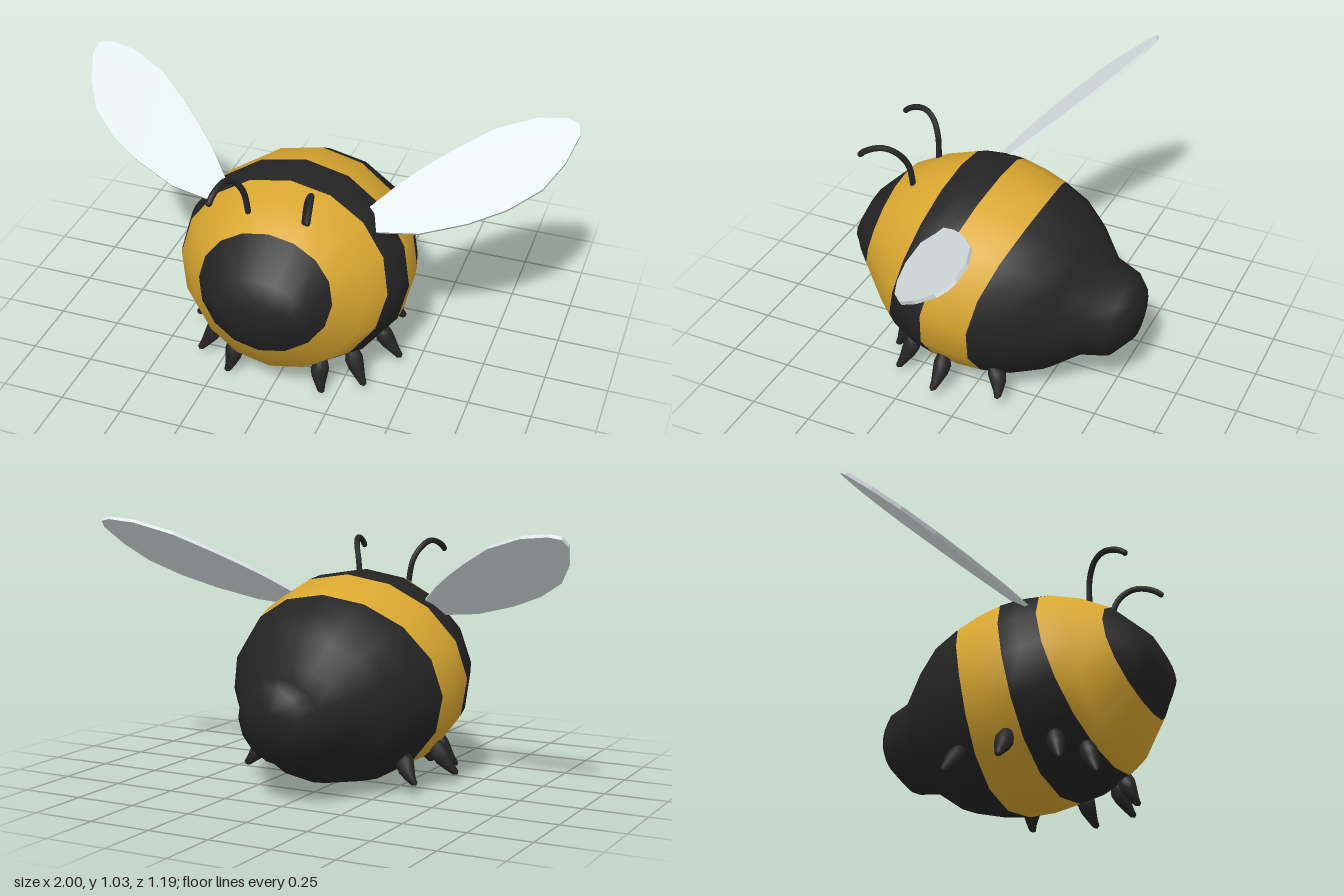
import * as THREE from 'three';
import { mergeVertices } from 'three/addons/utils/BufferGeometryUtils.js';

const mat = (name, color) => new THREE.MeshStandardMaterial({ name, color });

// Smooth loft through tilted oval rings: [topZ, topY, bottomZ, bottomY, halfWidth, middleZ]
function loft(rings, bandOf, segments) {
  const positions = [], indices = [];
  for (const [zt, yt, zb, yb, w, zm] of rings) {
    for (let j = 0; j < segments; j++) {
      const a = (j / segments) * Math.PI * 2, t = Math.cos(a);
      const zc = (zt + zb) / 2;
      positions.push(
        w * Math.sin(a),
        (yt + yb) / 2 + ((yt - yb) / 2) * t,
        zc + ((zt - zb) / 2) * t + (zm - zc) * (1 - t * t)
      );
    }
  }
  let geometry = new THREE.BufferGeometry();
  for (let i = 0; i < rings.length - 1; i++) {
    const start = indices.length;
    for (let j = 0; j < segments; j++) {
      const k = (j + 1) % segments;
      const a = i * segments + j, b = i * segments + k;
      const c = a + segments, d = b + segments;
      indices.push(a, b, c, b, d, c);
    }
    geometry.addGroup(start, indices.length - start, bandOf[i]);
  }
  geometry.setAttribute('position', new THREE.Float32BufferAttribute(positions, 3));
  geometry.setIndex(indices);
  geometry = mergeVertices(geometry);
  geometry.computeVertexNormals();
  return geometry;
}

// Plump, tapering leg from root to tip, its end curling outwards
function legGeometry(root, tip, side) {
  const a = new THREE.Vector3(...root), b = new THREE.Vector3(...tip);
  a.x *= side;
  b.x *= side;
  const dir = b.clone().sub(a), length = dir.length();
  const profile = [[0, 0], [0.026, 0.1], [0.036, 0.32], [0.031, 0.55], [0.02, 0.78], [0.013, 0.95], [0, 1]]
    .map(([r, t]) => new THREE.Vector2(r, t * length));
  const geometry = new THREE.LatheGeometry(profile, 10);
  const p = geometry.attributes.position;
  const q = new THREE.Quaternion().setFromUnitVectors(new THREE.Vector3(0, 1, 0), dir.normalize());
  const v = new THREE.Vector3();
  for (let i = 0; i < p.count; i++) {
    v.fromBufferAttribute(p, i);
    const t = v.y / length;
    v.applyQuaternion(q).add(a);
    v.x -= side * 0.05 * t * (1 - t);
    v.z -= 0.03 * t * (1 - t);
    p.setXYZ(i, v.x, v.y, v.z);
  }
  geometry.computeVertexNormals();
  return geometry;
}

export function createModel() {
  const model = new THREE.Group();
  model.name = 'bumblebee';
  const black = mat('black fuzz', 0x242424);
  const yellow = mat('yellow fuzz', 0xd9a730);
  const wingGrey = mat('pale wing', 0xdde6e8);

  const add = (name, geometry, material) => {
    const mesh = new THREE.Mesh(geometry, material);
    mesh.name = name;
    model.add(mesh);
    return mesh;
  };

  // Striped body, from face to tail
  const rings = [
    [0.595, 0.48, 0.595, 0.48, 0, 0.595],
    [0.595, 0.54, 0.595, 0.42, 0.155, 0.59],
    [0.56, 0.61, 0.575, 0.35, 0.19, 0.56],
    [0.43, 0.735, 0.55, 0.285, 0.265, 0.475],
    [0.31, 0.795, 0.44, 0.125, 0.355, 0.365],
    [0.19, 0.825, 0.385, 0.1, 0.42, 0.285],
    [0.1, 0.83, 0.27, 0.04, 0.45, 0.21],
    [0.02, 0.82, 0.16, 0.02, 0.465, 0.145],
    [-0.08, 0.795, 0.05, 0, 0.46, 0.045],
    [-0.18, 0.76, -0.06, 0, 0.445, -0.04],
    [-0.27, 0.705, -0.16, 0.015, 0.41, -0.17],
    [-0.36, 0.63, -0.26, 0.04, 0.32, -0.29],
    [-0.42, 0.52, -0.39, 0.14, 0.225, -0.41],
    [-0.53, 0.49, -0.49, 0.15, 0.18, -0.51],
    [-0.565, 0.46, -0.57, 0.24, 0.11, -0.57],
    [-0.595, 0.37, -0.595, 0.37, 0, -0.595],
  ];
  const bands = [0, 0, 0, 1, 1, 0, 0, 1, 1, 0, 0, 0, 0, 0, 0];
  add('body', loft(rings, bands, 16), [black, yellow]);

  // Outline of a wing lying flat, root to tip and back
  const wingOutline = [
    [0.34, 0], [0.29, 0.04], [0.29, 0.09], [0.38, 0.205], [0.46, 0.29], [0.55, 0.375],
    [0.68, 0.485], [0.83, 0.56], [0.94, 0.578], [0.985, 0.565], [1, 0.52], [0.97, 0.4],
    [0.91, 0.283], [0.8, 0.18], [0.67, 0.1], [0.5, 0.026],
  ];
  const antennaPath = [
    [0.11, 0.75, 0.345], [0.125, 0.85, 0.355], [0.148, 0.905, 0.385], [0.165, 0.928, 0.425],
    [0.175, 0.926, 0.465], [0.184, 0.907, 0.51], [0.187, 0.89, 0.53],
  ];
  const legs = [
    ['frontLeg', [0.185, 0.145, 0.35], [0.2, 0.01, 0.4]],
    ['secondLeg', [0.28, 0.165, 0.27], [0.35, 0.025, 0.32]],
    ['thirdLeg', [0.34, 0.17, 0.11], [0.44, 0.04, 0.12]],
    ['rearLeg', [0.31, 0.155, -0.09], [0.38, 0.045, -0.14]],
  ];

  for (const side of [1, -1]) {
    const label = side > 0 ? 'left' : 'right';

    // Thin wing swept up and back
    const shape = new THREE.Shape(wingOutline.map(([x, v]) => new THREE.Vector2(side * x, v)));
    const wing = add(label + 'Wing', new THREE.ExtrudeGeometry(shape, { depth: 0.014, bevelEnabled: false }), wingGrey);
    wing.rotation.x = -0.891;
    wing.position.set(0, 0.66, 0.186);

    // Antenna curling forward, with a rounded tip
    const points = antennaPath.map(([x, y, z]) => new THREE.Vector3(side * x, y, z));
    add(label + 'Antenna', new THREE.TubeGeometry(new THREE.CatmullRomCurve3(points), 16, 0.012, 8), black);
    const tip = add(label + 'AntennaTip', new THREE.SphereGeometry(0.012, 8, 6), black);
    tip.position.copy(points[points.length - 1]);

    // Stubby legs
    for (const [name, root, end] of legs) {
      add(label + ' ' + name, legGeometry(root, end, side), black);
    }
  }
  return model;
}
